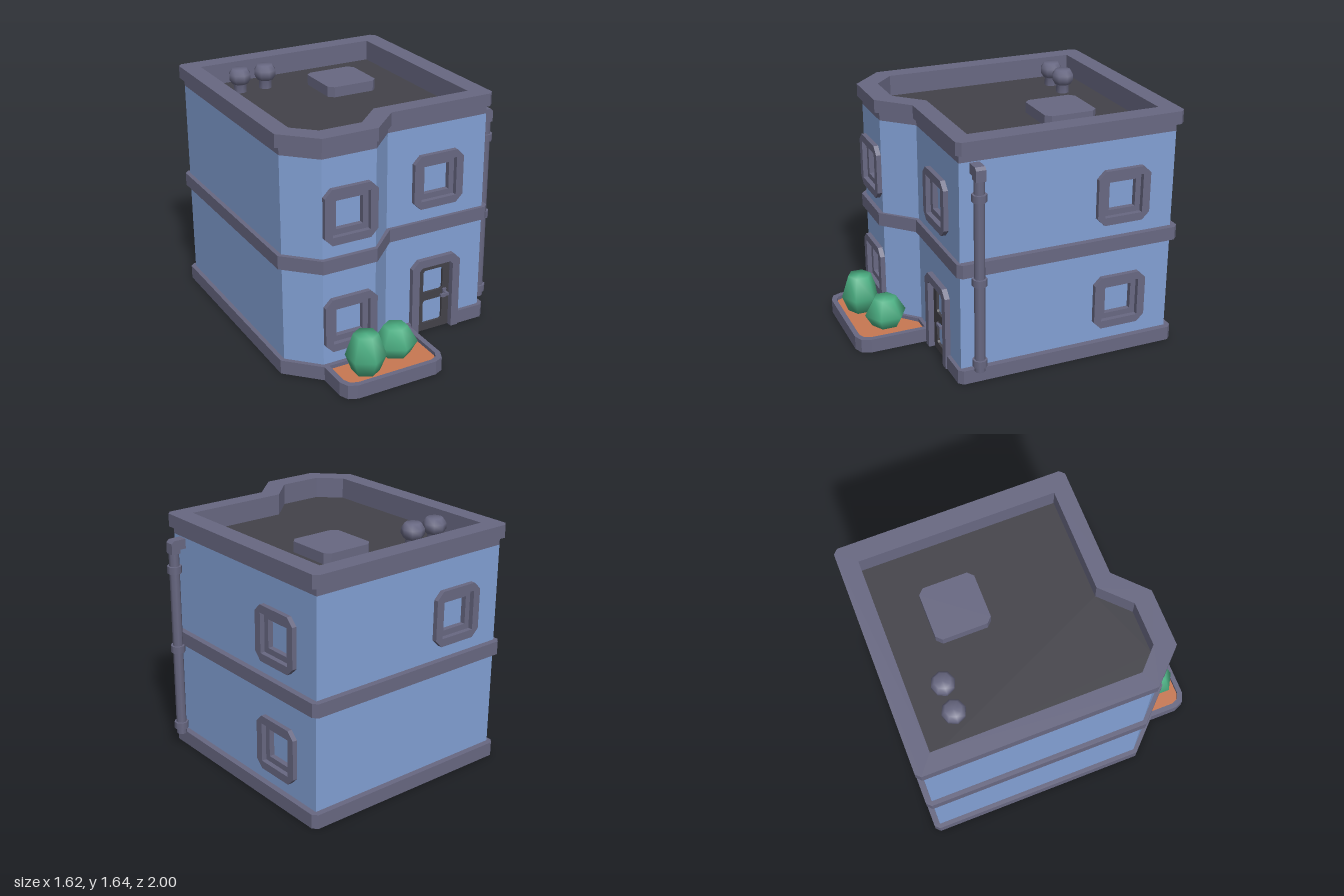
import * as THREE from 'three';

const mat = (name, color, side = THREE.FrontSide) => {
  const m = new THREE.MeshStandardMaterial({ color, side });
  m.name = name;
  return m;
};

export function createModel() {
  const wallBlue = mat('wallBlue', 0x82a0d4);
  const trim = mat('greyTrim', 0x686882);
  const dark = mat('darkGrey', 0x434249);
  const soilMat = mat('soil', 0xc87852);
  const leaf = mat('leafGreen', 0x4bae82);

  const model = new THREE.Group();
  model.name = 'house';

  const add = (parent, name, geo, material, x = 0, y = 0, z = 0) => {
    const mesh = new THREE.Mesh(geo, material);
    mesh.name = name;
    mesh.position.set(x, y, z);
    parent.add(mesh);
    return mesh;
  };
  const shapeOf = (pts, ...holes) => {
    const s = new THREE.Shape(pts.map(p => new THREE.Vector2(...p)));
    holes.forEach(h => s.holes.push(new THREE.Path(h.map(p => new THREE.Vector2(...p)))));
    return s;
  };
  // Rectangle with cut corners
  const cutRect = (x0, y0, x1, y1, c) => [
    [x0 + c, y0], [x1 - c, y0], [x1, y0 + c], [x1, y1 - c],
    [x1 - c, y1], [x0 + c, y1], [x0, y1 - c], [x0, y0 + c]];
  const rect = (x0, y0, x1, y1) => [[x0, y0], [x1, y0], [x1, y1], [x0, y1]];
  const extrude = (shape, depth) => new THREE.ExtrudeGeometry(shape, { depth, bevelEnabled: false });
  // Plans are lists of [x, z], raised from y0 to y1
  const flip = pts => pts.map(([x, z]) => [x, -z]);
  const slab = (name, plan, y0, y1, material, ...holes) =>
    add(model, name, extrude(shapeOf(flip(plan), ...holes.map(flip)), y1 - y0).rotateX(-Math.PI / 2), material, 0, y0, 0);

  // Floor plans
  const back = [[0.73, 0.5], [0.73, -0.97], [0.7, -1], [-0.78, -1], [-0.81, -0.97]];
  const bay = [[-0.81, 0.515], [-0.605, 0.72], [-0.23, 0.72], [-0.03, 0.53]];
  const outer = [...bay, [0.7, 0.53], ...back];
  const base = [...bay, [0.2, 0.53], [0.2, 0.473], [0.455, 0.473], [0.455, 0.53], [0.7, 0.53], ...back];
  const wall = [[-0.78, -0.96], [-0.78, 0.505], [-0.595, 0.69], [-0.225, 0.69], [-0.04, 0.505], [0.69, 0.505], [0.69, -0.96]];
  const inner = [[-0.69, -0.875], [-0.69, 0.46], [-0.555, 0.59], [-0.27, 0.59], [-0.09, 0.415], [0.6, 0.415], [0.6, -0.875]];

  slab('basePlinth', base, 0, 0.095, trim);
  slab('floorBand', outer, 0.74, 0.83, trim);
  slab('cornice', wall, 1.475, 1.53, trim, inner);
  slab('parapet', outer, 1.53, 1.615, trim, inner);
  slab('roofDeck', inner, 1.465, 1.475, dark);

  // Window: raised frame, recessed inner frame and pane, in the wall's own axes
  const addWindow = (panel, u, y) => {
    const g = new THREE.Group();
    g.name = 'window';
    g.position.set(u, y, 0);
    panel.add(g);
    const o = 0.1825, i = 0.13, p = 0.0925;
    add(g, 'windowFrame', extrude(shapeOf(cutRect(-o, -o, o, o, 0.05), rect(-i, -i, i, i)), 0.032), trim);
    add(g, 'innerFrame', extrude(shapeOf(rect(-i, -i, i, i), rect(-p, -p, p, p)), 0.04), trim, 0, 0, -0.04);
    add(g, 'windowPane', new THREE.PlaneGeometry(2 * p, 2 * p), wallBlue, 0, 0, -0.035);
  };

  // Door with two panes and a lever handle
  const addDoor = (panel, u) => {
    const g = new THREE.Group();
    g.name = 'door';
    g.position.x = u;
    panel.add(g);
    add(g, 'doorFrame', extrude(shapeOf([
      [-0.183, 0], [-0.128, 0], [-0.128, 0.475], [-0.108, 0.495], [0.108, 0.495], [0.128, 0.475],
      [0.128, 0], [0.183, 0], [0.183, 0.5], [0.133, 0.55], [-0.133, 0.55], [-0.183, 0.5]]), 0.065), trim, 0, 0, -0.03);
    add(g, 'doorLeaf', extrude(shapeOf(rect(-0.128, 0, 0.128, 0.495),
      cutRect(-0.075, 0.285, 0.075, 0.448, 0.012),
      cutRect(-0.075, 0.055, 0.075, 0.225, 0.012)), 0.025), dark, 0, 0, -0.03);
    for (const y of [0.14, 0.366]) add(g, 'doorPane', new THREE.PlaneGeometry(0.16, 0.18), wallBlue, 0, y, -0.022);
    add(g, 'handlePlate', new THREE.BoxGeometry(0.026, 0.065, 0.015), trim, 0.088, 0.252, 0);
    add(g, 'handleStem', new THREE.BoxGeometry(0.018, 0.02, 0.035), trim, 0.09, 0.257, 0.02);
    add(g, 'handleLever', new THREE.BoxGeometry(0.065, 0.02, 0.014), trim, 0.068, 0.257, 0.035);
  };

  // Wall panels, one for each side of the plan
  const LOW = 0.37, HIGH = 1.1025;
  const windows = { 2: [[0.185, LOW], [0.185, HIGH]], 4: [[0.367, HIGH]], 5: [[1.1, LOW], [1.1, HIGH]], 6: [[1.1, HIGH]] };
  wall.forEach((a, k) => {
    const b = wall[(k + 1) % wall.length];
    const dx = b[0] - a[0], dz = b[1] - a[1], len = Math.hypot(dx, dz);
    const panel = new THREE.Group();
    panel.name = 'wallPanel';
    panel.position.set(a[0], 0, a[1]);
    panel.rotation.y = Math.atan2(-dz, dx);
    model.add(panel);
    const outline = rect(0, 0.09, len, 1.475);
    const hasDoor = k === 4;
    if (hasDoor) outline.splice(1, 0, [0.239, 0.09], [0.239, 0.495], [0.495, 0.495], [0.495, 0.09]);
    const list = windows[k] || [];
    const holes = list.map(([u, y]) => rect(u - 0.13, y - 0.13, u + 0.13, y + 0.13));
    add(panel, 'wall', new THREE.ShapeGeometry(shapeOf(outline, ...holes)), wallBlue);
    list.forEach(([u, y]) => addWindow(panel, u, y));
    if (hasDoor) addDoor(panel, 0.367);
  });

  // Planter with soil and bushes
  const tub = (x0, x1, z0, z1, r) => [[x0, z0], [x0, z1 - r], [x0 + r * 0.3, z1 - r * 0.3], [x0 + r, z1],
    [x1 - r, z1], [x1 - r * 0.3, z1 - r * 0.3], [x1, z1 - r], [x1, z0]];
  const tubInner = tub(-0.57, 0.088, 0.45, 0.966, 0.065);
  slab('planterRim', tub(-0.605, 0.123, 0.42, 1, 0.085), 0, 0.095, trim, tubInner);
  slab('planterFloor', tubInner, 0, 0.02, trim);
  slab('soil', tubInner, 0.02, 0.07, soilMat);
  const lathe = (pts, sides) => new THREE.LatheGeometry(pts.map(p => new THREE.Vector2(...p)), sides);
  add(model, 'tallBush', lathe([[0, 0.06], [0.085, 0.06], [0.131, 0.18], [0.08, 0.33], [0, 0.33]], 6), leaf, -0.375, 0, 0.833);
  add(model, 'roundBush', lathe([[0, 0.06], [0.09, 0.06], [0.143, 0.153], [0.078, 0.265], [0, 0.265]], 6), leaf, -0.105, 0, 0.74);

  // Roof hatch and vents
  slab('roofHatch', cutRect(-0.04, -0.6, 0.32, -0.24, 0.035), 1.475, 1.545, trim);
  for (const x of [-0.5, -0.315]) {
    add(model, 'roofVent', lathe([[0.045, 1.475], [0.045, 1.53], [0.055, 1.535], [0.075, 1.565],
      [0.075, 1.6], [0.052, 1.636], [0, 1.636]], 8), trim, x, 0, -0.66);
  }

  // Drainpipe with elbow and collars
  const px = 0.762, pz = 0.405;
  const tube = (name, r, y0, y1) =>
    add(model, name, new THREE.CylinderGeometry(r, r, y1 - y0, 8).rotateY(Math.PI / 8), trim, px, (y0 + y1) / 2, pz);
  tube('drainpipe', 0.034, 0.098, 1.42);
  for (const y of [0.16, 0.72, 1.272]) tube('pipeCollar', 0.048, y - 0.024, y + 0.024);
  add(model, 'pipeElbow', extrude(shapeOf([[0.67, 1.405], [0.73, 1.405], [0.73, 1.38], [0.794, 1.38],
    [0.794, 1.452], [0.775, 1.47], [0.67, 1.47]]), 0.064), trim, 0, 0, pz - 0.032);

  return model;
}
